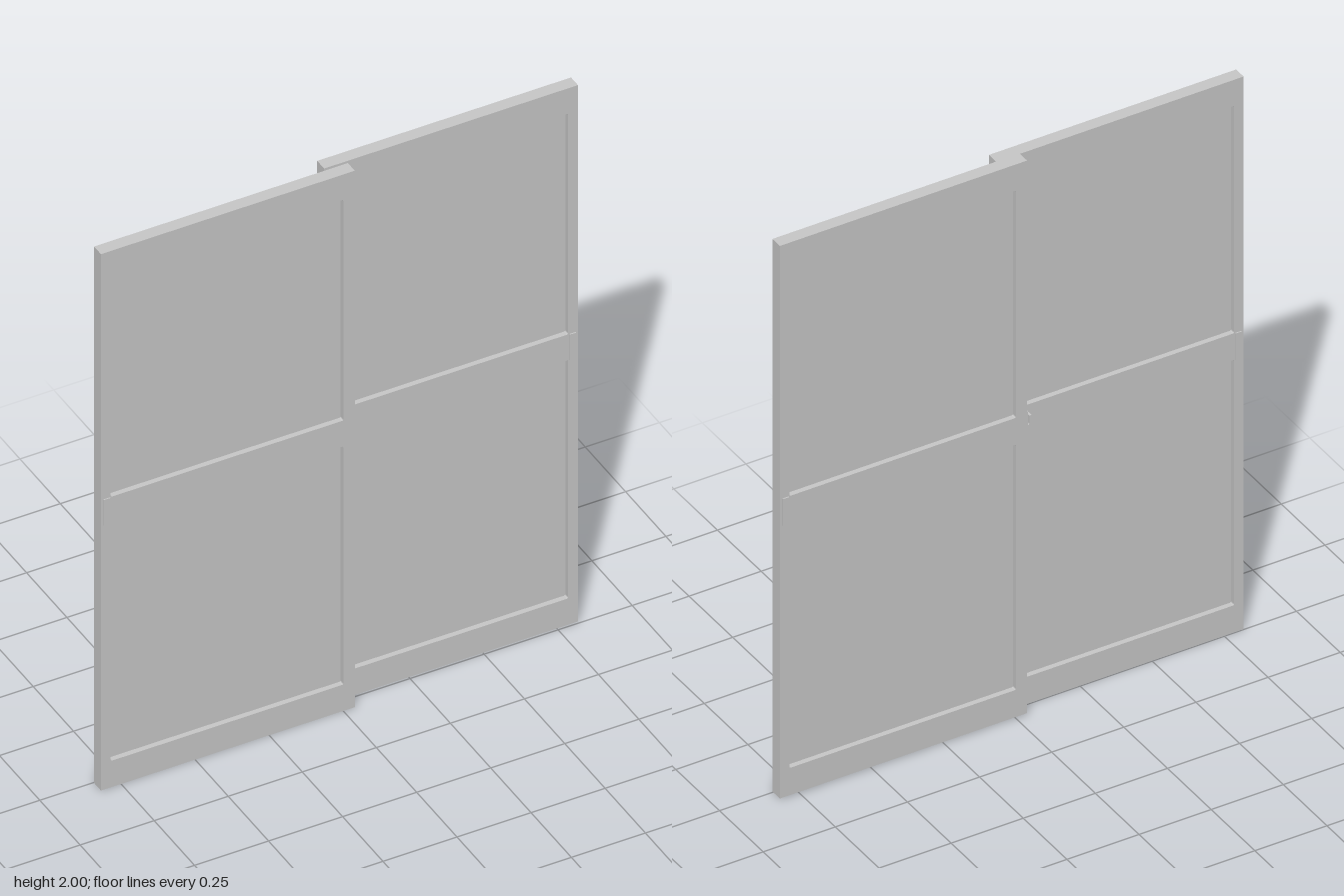
import * as THREE from 'three';

const grey = new THREE.MeshStandardMaterial({ color: 0xc8c8c8 });
grey.name = 'plain grey';

// Panel outline and opening limits, for the front panel
const X0 = -0.818, X1 = 0.039, H = 1.995, DEPTH = 0.043, GAP = 0.002;
const OPEN_X0 = -0.785, OPEN_X1 = 0;
const OPENINGS = [[0.098, 0.984], [1.08, 1.901]];

function part(name, geometry, x = 0, y = 0, z = 0) {
  const mesh = new THREE.Mesh(geometry, grey);
  mesh.name = name;
  mesh.position.set(x, y, z);
  return mesh;
}

// Rounded rectangle traced onto a path or shape
function roundRect(path, x0, y0, x1, y1, r) {
  path.moveTo(x0 + r, y0);
  path.lineTo(x1 - r, y0);
  path.quadraticCurveTo(x1, y0, x1, y0 + r);
  path.lineTo(x1, y1 - r);
  path.quadraticCurveTo(x1, y1, x1 - r, y1);
  path.lineTo(x0 + r, y1);
  path.quadraticCurveTo(x0, y1, x0, y1 - r);
  path.lineTo(x0, y0 + r);
  path.quadraticCurveTo(x0, y0, x0 + r, y0);
  return path;
}

function slidingPanel(name) {
  const panel = new THREE.Group();
  panel.name = name;
  const mid = GAP + DEPTH / 2;

  // Frame with two rounded openings and a rail between them
  const outline = new THREE.Shape([
    new THREE.Vector2(X0, 0), new THREE.Vector2(X1, 0),
    new THREE.Vector2(X1, H), new THREE.Vector2(X0, H),
  ]);
  for (const [y0, y1] of OPENINGS) {
    outline.holes.push(roundRect(new THREE.Path(), OPEN_X0, y0, OPEN_X1, y1, 0.005));
  }
  panel.add(part('frame', new THREE.ExtrudeGeometry(outline,
    { depth: DEPTH, bevelEnabled: false, curveSegments: 4 }), 0, 0, GAP));

  // Panes, set back from both faces
  for (const [y0, y1] of OPENINGS) {
    panel.add(part('pane', new THREE.BoxGeometry(OPEN_X1 - OPEN_X0 + 0.01, y1 - y0 + 0.01, 0.008),
      (OPEN_X0 + OPEN_X1) / 2, (y0 + y1) / 2, mid));
  }

  // Proud end of the middle rail, on the outer stile
  const railBottom = OPENINGS[0][1], railTop = OPENINGS[1][0];
  panel.add(part('railEnd', new THREE.BoxGeometry(0.022, railTop - railBottom, DEPTH + 0.008),
    -0.799, (railBottom + railTop) / 2, mid));
  return panel;
}

// Small hook latch on the edge of the back panel
function hookLatch() {
  const latch = new THREE.Group();
  latch.name = 'latch';
  latch.add(part('latchPlate', new THREE.BoxGeometry(0.006, 0.1, 0.03), -0.003, 0, 0));
  const hook = new THREE.Shape();
  hook.moveTo(0, -0.025);
  hook.lineTo(-0.014, -0.025);
  hook.quadraticCurveTo(-0.022, -0.02, -0.022, -0.008);
  hook.lineTo(-0.022, 0.028);
  hook.lineTo(-0.014, 0.028);
  hook.lineTo(-0.014, 0);
  hook.quadraticCurveTo(-0.012, -0.008, 0, -0.006);
  latch.add(part('hook', new THREE.ExtrudeGeometry(hook,
    { depth: 0.018, bevelEnabled: false, curveSegments: 6 }), 0, 0, -0.009));
  return latch;
}

export function createModel() {
  const model = new THREE.Group();
  model.name = 'slidingDoor';
  model.add(slidingPanel('frontPanel'));

  // The back panel is the same one turned half round
  const back = slidingPanel('backPanel');
  back.rotation.y = Math.PI;
  back.position.y = 0.005;
  model.add(back);

  const latch = hookLatch();
  latch.position.set(-X1, 1.04, -0.026);
  model.add(latch);
  return model;
}
